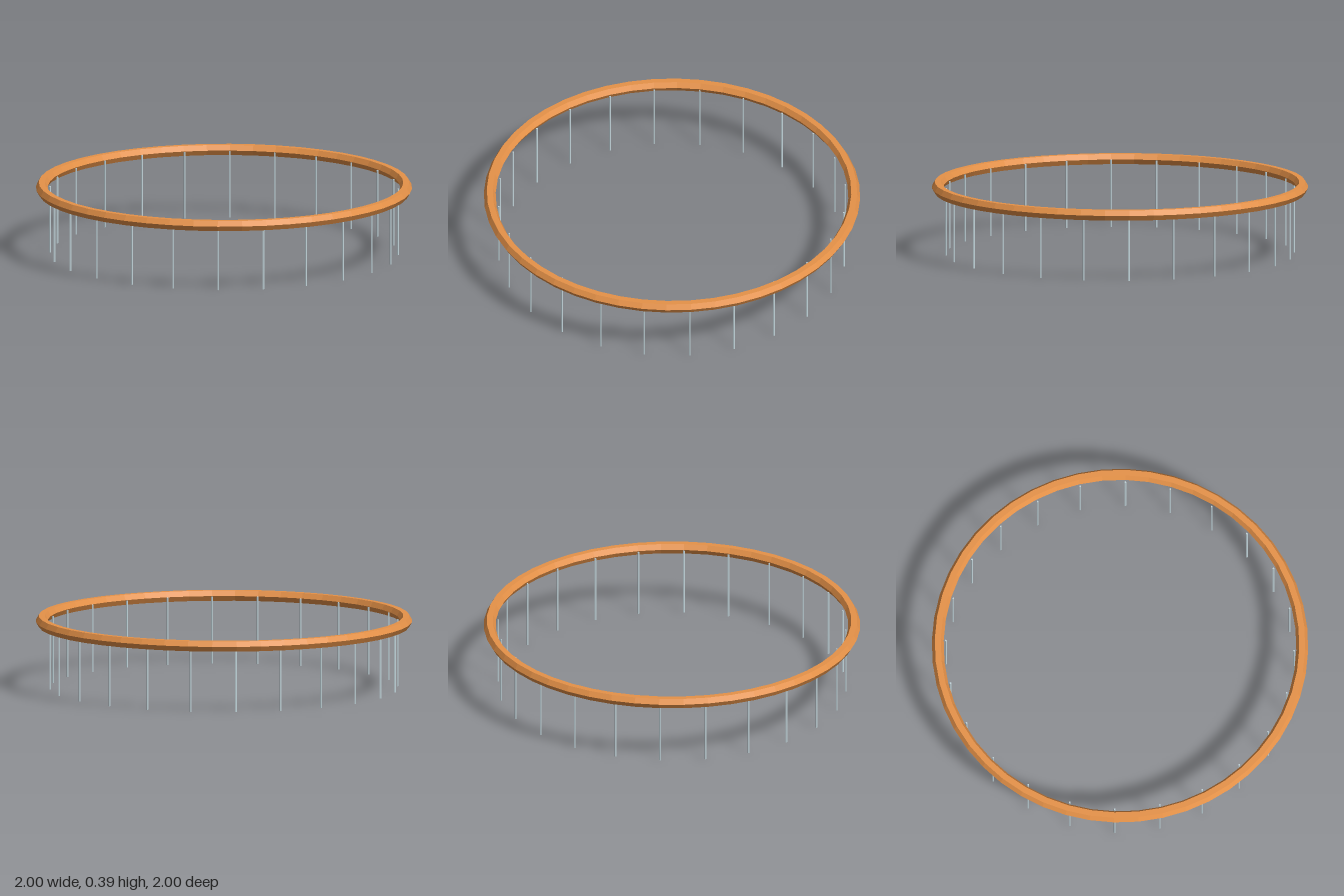
import * as THREE from 'three';

export function createModel() {
  const group = new THREE.Group();
  const wood = new THREE.MeshStandardMaterial({ color: 0xe69248, flatShading: true });
  wood.name = 'warm wood';
  const steel = new THREE.MeshStandardMaterial({ color: 0xc0d2d8, flatShading: true });
  steel.name = 'pale steel';

  // Rail: a faceted ring with a hexagonal section
  const height = 0.36;
  const railGeometry = new THREE.TorusGeometry(0.9685, 0.0315, 6, 48);
  railGeometry.rotateX(-Math.PI / 2);
  const rail = new THREE.Mesh(railGeometry, wood);
  rail.name = 'rail';
  rail.position.y = height;
  group.add(rail);

  // Slim posts evenly spaced along the inner edge of the rail
  const posts = new THREE.Group();
  posts.name = 'posts';
  const postCount = 24;
  const postRadius = 0.925;
  const postGeometry = new THREE.CylinderGeometry(0.005, 0.005, height, 6);
  for (let i = 0; i < postCount; i++) {
    const angle = (i / postCount) * Math.PI * 2;
    const post = new THREE.Mesh(postGeometry, steel);
    post.name = 'post';
    post.position.set(Math.cos(angle) * postRadius, height / 2, Math.sin(angle) * postRadius);
    posts.add(post);
  }
  group.add(posts);
  return group;
}
